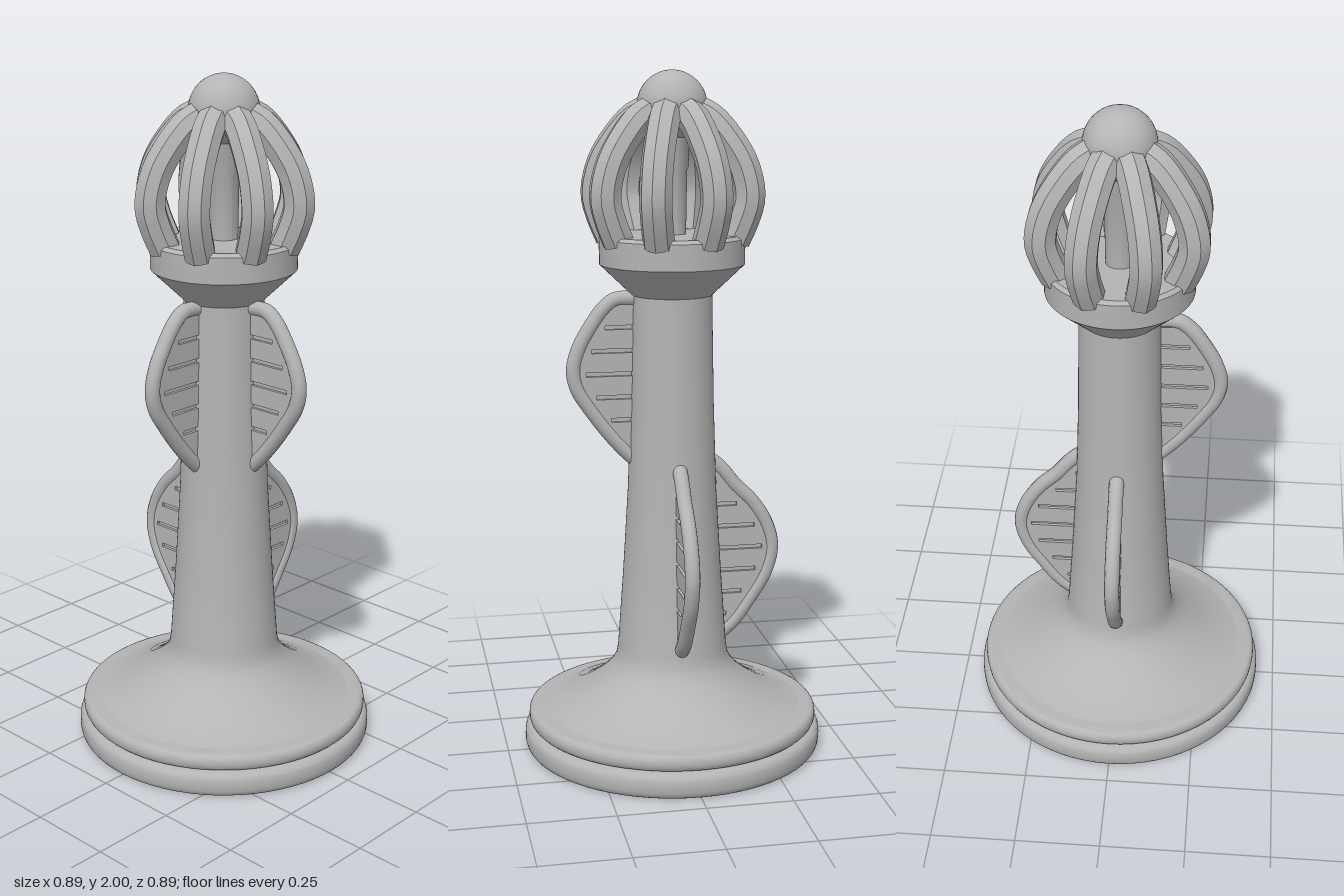
import * as THREE from 'three';
import { toCreasedNormals } from 'three/addons/utils/BufferGeometryUtils.js';

const stone = new THREE.MeshStandardMaterial({ color: 0xb4b4b4 });
stone.name = 'grey';

const v2 = (p) => new THREE.Vector2(p[0], p[1]);
const v3 = (p) => new THREE.Vector3(p[0], p[1], 0);

function add(parent, name, geometry, crease) {
  const mesh = new THREE.Mesh(crease ? toCreasedNormals(geometry, crease) : geometry, stone);
  mesh.name = name;
  parent.add(mesh);
  return mesh;
}

const lathe = (points) => new THREE.LatheGeometry(points.map(v2), 72);

// Half-round bead between two heights, bulging out to radius r
function bead(r, y0, y1) {
  const h = (y1 - y0) / 2, points = [];
  for (let i = 0; i <= 10; i++) {
    const a = -Math.PI / 2 + (i / 10) * Math.PI;
    const s = Math.sin(a);
    points.push([r - 0.02 + 0.02 * Math.cos(a), y0 + h + h * Math.sign(s) * Math.pow(Math.abs(s), 0.7)]);
  }
  return points;
}

// Rib tube with flat caps at both ends
function cappedTube(parent, name, curve, segments, radius, sides) {
  const rib = new THREE.Group();
  rib.name = name;
  add(rib, name + 'Bar', new THREE.TubeGeometry(curve, segments, radius, sides), 0.6);
  for (const t of [0, 1]) {
    const cap = add(rib, name + 'End', new THREE.CircleGeometry(radius, sides));
    const dir = curve.getTangent(t).multiplyScalar(t ? 1 : -1);
    cap.position.copy(curve.getPoint(t));
    cap.quaternion.setFromUnitVectors(new THREE.Vector3(0, 0, 1), dir);
  }
  parent.add(rib);
  return rib;
}

// Slotted fin with a rounded rim, lying in the x-y plane
function makeFin(path, slots) {
  const fin = new THREE.Group();
  fin.name = 'fin';
  const curve = new THREE.CatmullRomCurve3(path.map(v3), false, 'centripetal');
  add(fin, 'finRim', new THREE.TubeGeometry(curve, 48, 0.022, 12));

  const edge = curve.getPoints(48);
  const makeWeb = () => {
    const shape = new THREE.Shape();
    shape.moveTo(0.04, edge[0].y);
    edge.forEach((p) => shape.lineTo(p.x, p.y));
    shape.lineTo(0.04, edge[edge.length - 1].y);
    return shape;
  };
  const web = (name, shape, depth) => {
    const g = new THREE.ExtrudeGeometry(shape, { depth, bevelEnabled: false });
    add(fin, name, g.translate(0, 0, -depth / 2));
  };
  web('finCore', makeWeb(), 0.01);

  // Outer plates with a ladder of narrow slots
  const slotted = makeWeb();
  for (const y of slots) {
    const near = edge.filter((p) => Math.abs(p.y - y) < 0.025).map((p) => p.x);
    const end = Math.min(...near) - 0.03;
    if (end < 0.1) continue;
    const hole = new THREE.Path();
    hole.moveTo(0.07, y - 0.006);
    hole.lineTo(0.07, y + 0.006);
    hole.lineTo(end, y + 0.006);
    hole.lineTo(end, y - 0.006);
    hole.closePath();
    slotted.holes.push(hole);
  }
  web('finPlates', slotted, 0.028);
  return fin;
}

export function createModel() {
  const model = new THREE.Group();
  model.name = 'tower';

  // Stepped round base
  add(model, 'base', lathe([
    [0, 0], ...bead(0.445, 0, 0.072), ...bead(0.432, 0.076, 0.125), [0.36, 0.125],
  ]), 0.6);

  // Flared foot and tapering shaft
  add(model, 'shaft', lathe([
    [0.41, 0.118], [0.385, 0.124], [0.35, 0.135], [0.31, 0.153], [0.27, 0.176], [0.23, 0.204],
    [0.2, 0.23], [0.178, 0.257], [0.167, 0.28], [0.162, 0.31], [0.145, 0.55], [0.13, 0.8],
    [0.122, 1.05], [0.116, 1.38],
  ]), 0.6);

  // Cup under the cage
  add(model, 'cup', lathe([
    [0, 1.365], [0.116, 1.365], [0.21, 1.455], [0.21, 1.53], [0.2, 1.54], [0, 1.54],
  ]), 0.5);

  // Slim core inside the cage
  add(model, 'core', lathe([
    [0.04, 1.53], [0.043, 1.72], [0.047, 1.73], [0.05, 1.84], [0.08, 1.9],
  ]), 0.5);

  // Eight curved cage ribs
  const ribCurve = new THREE.CatmullRomCurve3([
    [0.18, 1.525], [0.208, 1.59], [0.223, 1.65], [0.205, 1.735], [0.16, 1.81], [0.105, 1.868], [0.05, 1.89],
  ].map(v3));
  for (let i = 0; i < 8; i++) {
    const rib = cappedTube(model, 'cageRib', ribCurve, 22, 0.046, 8);
    rib.rotation.y = ((i + 0.5) * Math.PI) / 4;
  }

  // Ball on top
  add(model, 'ball', new THREE.SphereGeometry(0.1, 40, 24)).position.y = 1.9;

  // Two lower fins and two upper fins
  const lower = [[0.1, 0.31], [0.15, 0.335], [0.19, 0.37], [0.24, 0.44], [0.285, 0.515], [0.304, 0.595],
    [0.285, 0.67], [0.24, 0.74], [0.19, 0.79], [0.15, 0.84], [0.115, 0.87], [0.09, 0.875]];
  const upper = [[0.09, 0.865], [0.13, 0.9], [0.18, 0.955], [0.24, 1.035], [0.277, 1.095], [0.289, 1.15],
    [0.275, 1.21], [0.24, 1.275], [0.2, 1.33], [0.165, 1.355], [0.1, 1.355]];
  const ladder = (y) => [0, 1, 2, 3, 4, 5, 6].map((i) => y + i * 0.068);
  for (let i = 0; i < 4; i++) {
    const fin = i < 2 ? makeFin(lower, ladder(0.395)) : makeFin(upper, ladder(0.935).slice(0, 6));
    fin.name = i < 2 ? 'lowerFin' : 'upperFin';
    fin.rotation.y = (i * Math.PI) / 2;
    model.add(fin);
  }
  return model;
}
